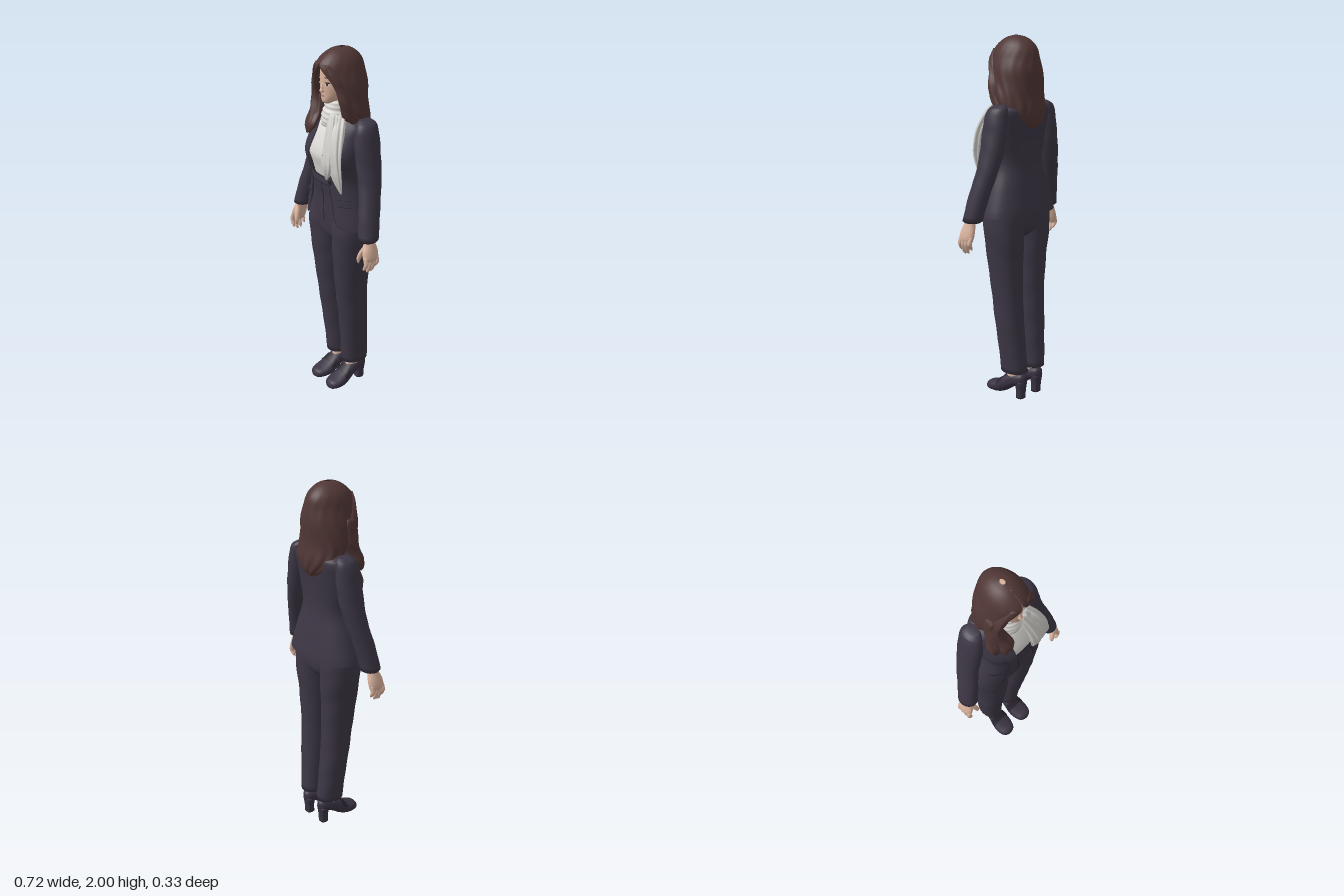
import * as THREE from 'three';

const mat = (name, color) => new THREE.MeshStandardMaterial({ name, color, side: THREE.DoubleSide });
const M = {
  suit: mat('suit navy', 0x3d3745), trim: mat('dark trim', 0x28232e), shoe: mat('shoe leather', 0x3a3342),
  hair: mat('brown hair', 0x503735), skin: mat('skin', 0xdab39e), shirt: mat('shirt white', 0xdddbd7),
  scarf: mat('scarf grey', 0xcfcdc9), eye: mat('eye white', 0xeae6e2), iris: mat('iris brown', 0x4a2f28),
  lip: mat('lips', 0xbd8078),
};
const TAU = Math.PI * 2;

// Section at height y. Keys run downwards: [y, cx, cz, rx, rz, opening]
function at(keys, y) {
  let i = 0;
  while (i < keys.length - 2 && y < keys[i + 1][0]) i++;
  const p = keys[i], q = keys[i + 1], o = keys[Math.max(0, i - 1)], r = keys[Math.min(keys.length - 1, i + 2)];
  const h = q[0] - p[0], t = (y - p[0]) / h;
  return p.map((v, k) => {
    if (k === 0) return y;
    const m0 = (q[k] - o[k]) / (q[0] - o[0]) * h, m1 = (r[k] - v) / (r[0] - p[0]) * h;
    return (2 * t ** 3 - 3 * t * t + 1) * v + (t ** 3 - 2 * t * t + t) * m0 + (3 * t * t - 2 * t ** 3) * q[k] + (t ** 3 - t * t) * m1;
  });
}

// Skin a list of rows with a surface; angle 0 is the front
function skinRows(rows, { seg = 32, n = 2, ripple = null, range = null } = {}) {
  const pos = [], idx = [], w = range ? seg + 1 : seg;
  const pw = v => Math.sign(v) * Math.abs(v) ** (2 / n);
  rows.forEach((r, j) => {
    const [a0, a1] = range ? range(r, j / (rows.length - 1)) : [0, TAU];
    for (let i = 0; i < w; i++) {
      const a = a0 + (a1 - a0) * i / seg, k = ripple ? ripple(a, r[0]) : 1;
      pos.push(r[1] + r[3] * k * pw(Math.sin(a)), r[0], r[2] + r[4] * k * pw(Math.cos(a)));
    }
  });
  for (let j = 0; j < rows.length - 1; j++) for (let i = 0; i < seg; i++) {
    const a = j * w + i, b = j * w + (i + 1) % w;
    idx.push(a, a + w, b, b, a + w, b + w);
  }
  if (!range) [0, rows.length - 1].forEach((j, end) => {
    const c = pos.length / 3;
    pos.push(rows[j][1], rows[j][0], rows[j][2]);
    for (let i = 0; i < seg; i++) {
      const a = j * w + i, b = j * w + (i + 1) % w;
      end ? idx.push(c, b, a) : idx.push(c, a, b);
    }
  });
  const g = new THREE.BufferGeometry();
  g.setAttribute('position', new THREE.Float32BufferAttribute(pos, 3));
  g.setIndex(idx);
  g.computeVertexNormals();
  return g;
}

function loft(keys, opt = {}) {
  const rows = [], steps = opt.steps ?? 5;
  for (let i = 0; i < keys.length - 1; i++) for (let s = 0; s < steps; s++)
    rows.push(at(keys, keys[i][0] + (keys[i + 1][0] - keys[i][0]) * s / steps));
  rows.push(keys[keys.length - 1]);
  return skinRows(rows, opt);
}

// Thin plate lying on a lofted surface
function patch(keys, y0, y1, off, range, opt = {}) {
  const rows = [];
  for (let j = 0; j <= 12; j++) {
    const r = at(keys, y0 + (y1 - y0) * j / 12);
    r[3] += off; r[4] += off;
    rows.push(r);
  }
  return skinRows(rows, { seg: 10, ...opt, range });
}
const oval = (c, w) => (r, t) => { const h = w * Math.sqrt(Math.max(0, 1 - (2 * t - 1) ** 2)); return [c - h, c + h]; };

export function createModel() {
  const root = new THREE.Group();
  root.name = 'womanInSuit';
  const add = (name, geo, m, parent = root) => {
    const mesh = new THREE.Mesh(geo, m);
    mesh.name = name;
    parent.add(mesh);
    return mesh;
  };

  // Jacket, open at the front
  const jacket = [
    [1.69, 0, -.03, .085, .07, .95], [1.65, 0, -.04, .13, .085, .62], [1.615, 0, -.04, .182, .1, .38],
    [1.55, 0, -.02, .185, .118, .28], [1.45, 0, .01, .18, .137, .28], [1.33, 0, 0, .157, .123, .38],
    [1.2, 0, -.012, .195, .13, .42], [1.09, 0, -.02, .228, .139, .46], [1.055, 0, -.022, .236, .14, .62],
  ];
  const box = { n: 2.4 };
  add('jacket', loft(jacket, { ...box, seg: 56, range: r => [r[5], TAU - r[5]] }), M.suit);
  add('collar', patch(jacket, 1.7, 1.645, .009, r => [r[5] + .02, TAU - r[5] - .02], { ...box, seg: 36 }), M.suit);
  for (const s of [1, -1]) {
    const side = (a, b) => s > 0 ? [a, b] : [-b, -a];
    const lapel = (w, extra) => (r, t) => side(r[5] - .01, r[5] + w * Math.sin(Math.PI * Math.min(1, .35 + .65 * t)) + extra);
    add('lapelEdge', patch(jacket, 1.655, 1.335, .005, lapel(.4, .035), box), M.trim);
    add('lapel', patch(jacket, 1.655, 1.335, .009, lapel(.4, .01), box), M.suit);
    add('pocketShadow', patch(jacket, 1.225, 1.185, .003, () => side(.6, 1.16), box), M.trim);
    add('pocketFlap', patch(jacket, 1.225, 1.19, .007, () => side(.61, 1.15), box), M.suit);
    add('frontEdge', patch(jacket, 1.32, 1.06, .002, r => side(r[5], r[5] + .025), box), M.trim);
  }
  add('jacketButton', patch(jacket, 1.325, 1.3, .008, oval(.47, .08), box), M.trim);

  // Shirt with a high folded neck
  add('shirt', loft([
    [1.66, 0, -.01, .07, .07], [1.62, 0, -.025, .12, .085], [1.55, 0, -.01, .16, .108], [1.45, 0, .01, .162, .125],
    [1.38, 0, .005, .145, .115], [1.3, 0, 0, .13, .1],
  ], box), M.shirt);
  add('highNeck', loft([
    [1.728, 0, .005, .05, .055], [1.715, 0, .005, .062, .065], [1.69, 0, .005, .066, .07], [1.665, 0, .005, .075, .08],
    [1.63, 0, .005, .083, .086], [1.595, 0, .01, .07, .08],
  ], { ripple: (a, y) => 1 + .035 * Math.sin(y * 230 + 1.4 * Math.sin(a)) }), M.shirt);

  // Scarf tails with pleats
  const pleat = { seg: 40, ripple: (a, y) => 1 + .14 * Math.cos(7 * a + y * 9) };
  add('scarfFrontTail', loft([[1.67, .05, .06, .03, .02], [1.6, .07, .09, .036, .022], [1.5, .088, .125, .038, .02],
    [1.43, .095, .14, .042, .018], [1.38, .09, .138, .03, .014], [1.33, .075, .13, .005, .004]], pleat), M.scarf);
  add('scarfSideTail', loft([[1.67, .07, .03, .03, .025], [1.6, .105, .075, .036, .03], [1.5, .128, .115, .045, .024],
    [1.4, .142, .125, .045, .018], [1.34, .155, .118, .03, .014], [1.275, .168, .105, .005, .004]], pleat), M.scarf);

  // Trousers
  const hips = [[1.325, 0, 0, .14, .108], [1.28, 0, 0, .148, .11], [1.2, 0, -.01, .172, .108],
    [1.06, 0, -.016, .198, .112], [.97, 0, -.02, .13, .1], [.925, 0, -.02, .04, .06]];
  add('trouserHips', loft(hips, box), M.suit);
  add('waistband', patch(hips, 1.325, 1.285, .004, () => [-1.2, 1.2], { ...box, seg: 24 }), M.trim);
  add('waistbandFace', patch(hips, 1.322, 1.291, .006, () => [-1.2, 1.2], { ...box, seg: 24 }), M.suit);
  add('fly', patch(hips, 1.285, 1.06, .003, () => [.0, .025], box), M.trim);

  for (const s of [1, -1]) {
    const limb = new THREE.Group();
    limb.name = s > 0 ? 'leftSide' : 'rightSide';
    root.add(limb);
    const m = keys => keys.map(([y, x, ...rest]) => [y, x * s, ...rest]);

    // Trouser leg
    add('trouserLeg', loft(m([
      [1.14, .1, -.012, .085, .09], [1.05, .105, -.014, .1, .112], [.95, .104, -.017, .098, .114], [.8, .096, -.018, .088, .103],
      [.6, .088, -.027, .077, .09], [.48, .086, -.037, .075, .084], [.3, .078, -.053, .068, .08], [.155, .07, -.063, .063, .08],
    ]), { n: 2.15, ripple: (a, y) => 1 + .012 * Math.sin(y * 38 + 2 * a * s) }), M.suit, limb);

    // Ankle, shoe and heel
    add('ankle', loft(m([[.2, .066, -.06, .036, .042], [.14, .066, -.058, .034, .045], [.1, .066, -.055, .033, .05]])), M.skin, limb);
    const shoe = m([
      [.127, .072, -.024, .014, .01], [.115, .072, -.028, .038, .023], [.075, .071, -.034, .055, .031],
      [.03, .068, -.046, .056, .041], [-.01, .066, -.07, .049, .049], [-.045, .065, -.091, .044, .045],
      [-.09, .064, -.107, .039, .037], [-.125, .064, -.112, .03, .033], [-.14, .064, -.112, .012, .02],
    ]);
    add('shoe', loft(shoe, { n: 2.3 }).rotateX(Math.PI / 2), M.shoe, limb);
    add('shoeStrap', patch(shoe, .035, -.002, .004, () => [Math.PI - 1.3, Math.PI + 1.3], { seg: 20, n: 2.3 })
      .rotateX(Math.PI / 2), M.trim, limb);
    add('shoeHeel', loft(m([[.1, .064, -.105, .034, .032], [.05, .064, -.106, .026, .025], [0, .064, -.104, .025, .024]]), { n: 3 }), M.shoe, limb);

    // Sleeve
    add('sleeve', loft(m([
      [1.65, .165, -.05, .025, .035], [1.63, .178, -.048, .043, .056], [1.58, .188, -.043, .051, .07], [1.5, .199, -.04, .054, .074],
      [1.4, .218, -.037, .054, .07], [1.3, .243, -.025, .051, .063], [1.17, .276, .003, .05, .06], [1.045, .301, .025, .051, .056],
    ]), { ripple: (a, y) => 1 + .015 * Math.sin(y * 55 + 2 * a) }), M.suit, limb);
    add('cuffLining', loft(m([[1.06, .3, .025, .043, .047], [1.038, .303, .026, .043, .047]])), M.trim, limb);

    // Hand with four fingers and a thumb
    add('palm', loft(m([[1.07, .305, .028, .026, .032], [1.03, .316, .03, .026, .034], [.99, .328, .034, .026, .046],
      [.955, .336, .036, .024, .047], [.925, .34, .036, .014, .038]])), M.skin, limb);
    for (let f = 0; f < 4; f++) {
      const z = .071 - f * .023, tip = [.885, .868, .872, .893][f], r = .0125;
      add('finger', loft(m([[.965, .338, z, r, r], [.925, .347, z + .002, r, r], [tip + .012, .336, z + .004, .01, .01],
        [tip, .329, z + .004, .004, .004]]), { seg: 10 }), M.skin, limb);
    }
    add('thumb', loft(m([[1.02, .318, .052, .014, .016], [.98, .302, .07, .014, .016], [.945, .292, .08, .012, .012],
      [.918, .292, .083, .004, .004]]), { seg: 12 }), M.skin, limb);
  }

  // Head and face
  const head = [
    [1.97, 0, -.005, .035, .045], [1.93, 0, 0, .066, .085], [1.88, 0, .004, .075, .096], [1.82, 0, .013, .073, .088],
    [1.775, 0, .026, .062, .073], [1.742, 0, .045, .043, .054], [1.725, 0, .06, .025, .034], [1.717, 0, .065, .01, .015],
  ];
  add('head', loft(head, { seg: 40 }), M.skin);
  add('neck', loft([[1.8, 0, -.01, .045, .05], [1.7, 0, 0, .044, .05], [1.62, 0, -.01, .05, .05]]), M.skin);
  add('nose', loft([[1.83, 0, .095, .006, .006], [1.8, 0, .1, .009, .012], [1.787, 0, .1, .013, .017], [1.779, 0, .096, .008, .006]],
    { seg: 14 }), M.skin);
  for (const s of [1, -1]) {
    add('eyeWhite', patch(head, 1.835, 1.819, .002, oval(s * .47, .19)), M.eye);
    add('iris', patch(head, 1.835, 1.819, .0035, oval(s * .46, .085)), M.iris);
    add('lashLine', patch(head, 1.839, 1.832, .0045, oval(s * .48, .21)), M.iris);
    add('eyebrow', patch(head, 1.864, 1.857, .002, oval(s * .48, .24)), M.hair);
    const ear = add('ear', new THREE.SphereGeometry(1, 14, 10), M.skin);
    ear.scale.set(.009, .026, .016);
    ear.position.set(s * .076, 1.81, .005);
  }
  add('mouth', patch(head, 1.769, 1.756, .002, oval(0, .3)), M.lip);

  // Hair cap flowing down the back, parted over the forehead
  const hair = [
    [2, 0, -.015, .012, .016, .004], [1.99, 0, -.014, .043, .057, .004], [1.96, 0, -.012, .078, .102, .004],
    [1.925, 0, -.01, .098, .129, .05], [1.88, 0, -.012, .112, .137, .42], [1.82, 0, -.018, .129, .138, .74],
    [1.75, 0, -.024, .14, .132, 1.05], [1.68, 0, -.035, .147, .122, 1.3], [1.61, 0, -.06, .138, .104, 1.45],
    [1.56, 0, -.085, .105, .075, 1.5], [1.525, 0, -.11, .05, .035, 1.5],
  ];
  const strands = (a, y) => 1 + (2 - y) * .05 * Math.cos(14 * a + 3 * Math.sin(y * 18)) + .012 * Math.sin(y * 34 + a);
  add('hair', loft(hair, { seg: 120, ripple: strands, range: r => [r[5], TAU - r[5]] }), M.hair);

  // Wavy locks beside the face and over the chest
  const locks = [
    [[1.93, -.035, .1, .02, .014], [1.88, -.07, .085, .022, .022], [1.8, -.1, .06, .025, .03], [1.72, -.115, .05, .028, .032],
      [1.65, -.1, .075, .034, .032], [1.58, -.095, .11, .034, .024], [1.535, -.11, .118, .008, .008]],
    [[1.82, -.115, .03, .02, .03], [1.73, -.125, .02, .025, .035], [1.66, -.125, .045, .035, .035], [1.6, -.14, .065, .034, .03],
      [1.55, -.145, .085, .015, .014], [1.535, -.14, .09, .005, .005]],
    [[1.74, -.1, .03, .02, .03], [1.66, -.085, .06, .024, .026], [1.6, -.07, .11, .02, .015], [1.545, -.085, .128, .006, .006]],
    [[1.93, .035, .1, .02, .014], [1.88, .07, .085, .022, .022], [1.8, .102, .055, .025, .03], [1.72, .118, .035, .03, .034],
      [1.66, .115, .01, .034, .035], [1.61, .125, -.03, .022, .03], [1.58, .12, -.05, .006, .008]],
  ];
  locks.forEach((k, i) => add('hairLock', loft(k, {
    seg: 28, ripple: (a, y) => 1 + .1 * Math.cos(5 * a + y * 30 + i) + .06 * Math.sin(y * 60 + i),
  }), M.hair));
  return root;
}
